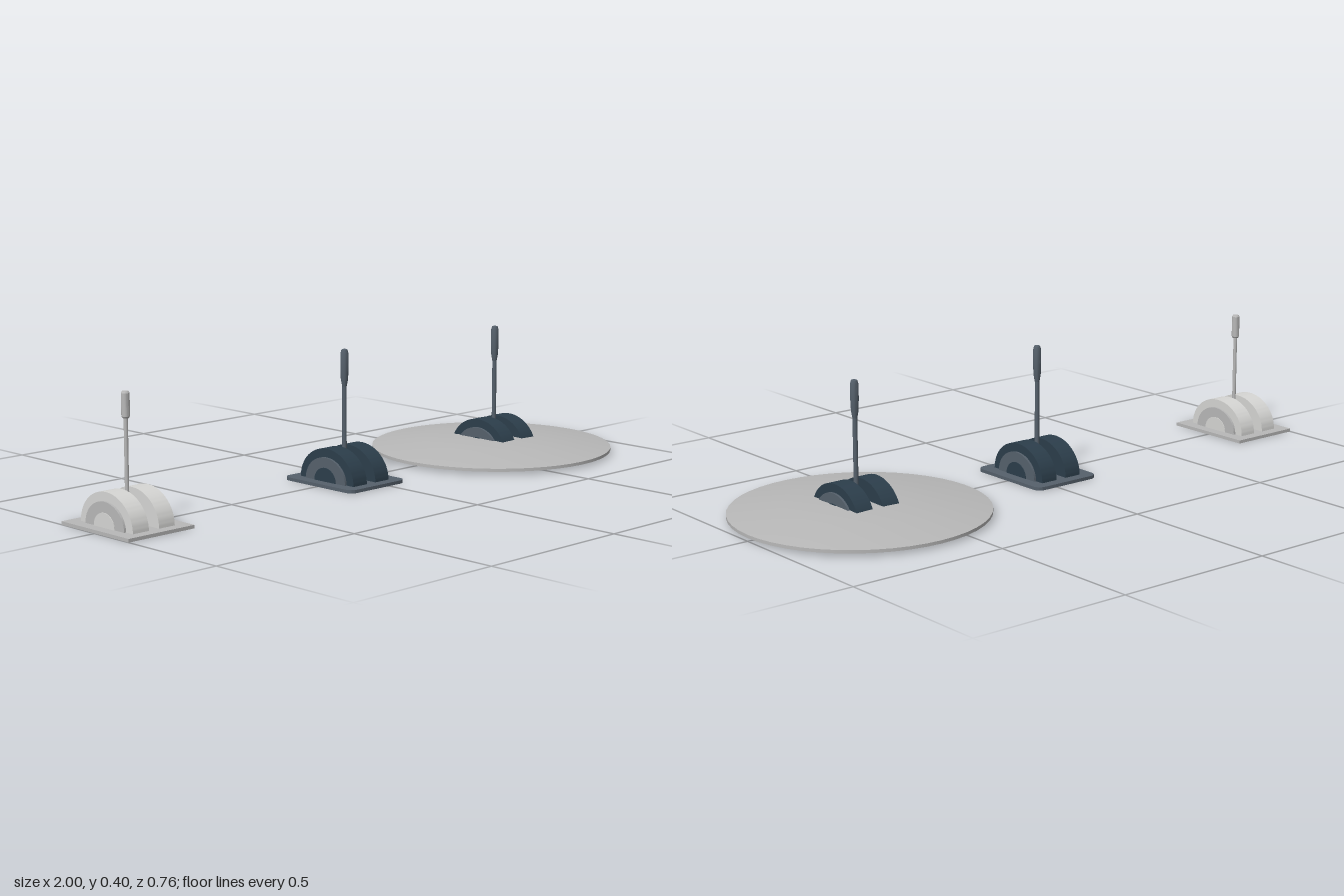
import * as THREE from 'three';
import { toCreasedNormals } from 'three/addons/utils/BufferGeometryUtils.js';

const mat = (name, color) => {
  const m = new THREE.MeshStandardMaterial({ color });
  m.name = name;
  return m;
};

function add(parent, name, geometry, material, x = 0, y = 0, z = 0) {
  const mesh = new THREE.Mesh(geometry, material);
  mesh.name = name;
  mesh.position.set(x, y, z);
  parent.add(mesh);
  return mesh;
}

// Half-ellipse slab, centred on x, standing on y = 0 and arched along z
function archSlab(halfLength, height, thickness) {
  const shape = new THREE.Shape();
  shape.absellipse(0, 0, halfLength, height, 0, Math.PI, false);
  shape.closePath();
  const g = new THREE.ExtrudeGeometry(shape, { depth: thickness, bevelEnabled: false, curveSegments: 24 });
  g.translate(0, 0, -thickness / 2).rotateY(Math.PI / 2);
  return toCreasedNormals(g, 0.6);
}

// Flat base plate with optional rounded corners
function plate(w, d, h, r) {
  if (!r) return new THREE.BoxGeometry(w, h, d).translate(0, h / 2, 0);
  const s = new THREE.Shape();
  const x = w / 2, z = d / 2;
  s.moveTo(-x + r, -z);
  s.absarc(x - r, -z + r, r, -Math.PI / 2, 0, false);
  s.absarc(x - r, z - r, r, 0, Math.PI / 2, false);
  s.absarc(-x + r, z - r, r, Math.PI / 2, Math.PI, false);
  s.absarc(-x + r, -z + r, r, Math.PI, Math.PI * 1.5, false);
  const g = new THREE.ExtrudeGeometry(s, { depth: h, bevelEnabled: false, curveSegments: 6 });
  return toCreasedNormals(g.rotateX(-Math.PI / 2), 0.6);
}

function lathe(points, segments) {
  const g = new THREE.LatheGeometry(points.map(([r, y]) => new THREE.Vector2(r, y)), segments);
  return toCreasedNormals(g, 0.5);
}

function lever(name, x, { base, cheek, boss, rod, grip }, corner, gripProfile, rodRadius) {
  const g = new THREE.Group();
  g.name = name;
  g.position.x = x;
  add(g, 'basePlate', plate(0.232, 0.292, 0.01, corner), base);

  // Pair of arched cheeks with stepped bosses on the outer faces
  for (const s of [-1, 1]) {
    add(g, 'cheek', archSlab(0.113, 0.099, 0.056), cheek, s * 0.046, 0.01);
    add(g, 'cheekBoss', archSlab(0.084, 0.073, 0.008), boss, s * 0.077, 0.01);
    add(g, 'bossCap', archSlab(0.045, 0.042, 0.003), cheek, s * 0.0815, 0.01);
  }

  // Pivot axle, rod and grip
  add(g, 'axle', new THREE.CylinderGeometry(0.009, 0.009, 0.05, 16).rotateZ(Math.PI / 2), rod, 0, 0.045);
  add(g, 'rod', new THREE.CylinderGeometry(rodRadius, rodRadius, 0.265, 12), rod, 0, 0.1775);
  add(g, 'grip', lathe(gripProfile, 16), grip);
  return g;
}

export function createModel() {
  const model = new THREE.Group();
  model.name = 'leverSet';

  const grey = mat('mid grey', 0xb8b8b8);
  const light = mat('light grey', 0xd6d6d4);
  const slate = mat('slate grey', 0x56616c);
  const navy = mat('dark navy', 0x2c3e4b);

  const pale = { base: grey, cheek: light, boss: grey, rod: grey, grip: grey };
  const dark = { base: slate, cheek: navy, boss: slate, rod: slate, grip: slate };

  const shortGrip = [[0, 0.305], [0.009, 0.305], [0.012, 0.31], [0.012, 0.375], [0.009, 0.38], [0, 0.38]];
  const longGrip = [[0, 0.29], [0.007, 0.29], [0.011, 0.312], [0.0125, 0.35],
    [0.012, 0.39], [0.009, 0.401], [0, 0.404]];

  model.add(lever('paleLever', -0.884, pale, 0, shortGrip, 0.006));
  model.add(lever('darkLever', -0.044, dark, 0.025, longGrip, 0.007));
  model.add(lever('discLever', 0.63, dark, 0.025, longGrip, 0.007));

  // Shallow domed disc around the third lever
  const dome = [[0, 0.0095], [0.382, 0.0095], [0.382, 0.019], [0.225, 0.042], [0.1, 0.049], [0, 0.05]];
  add(model, 'domedDisc', lathe(dome, 48), grey, 0.618);

  return model;
}
